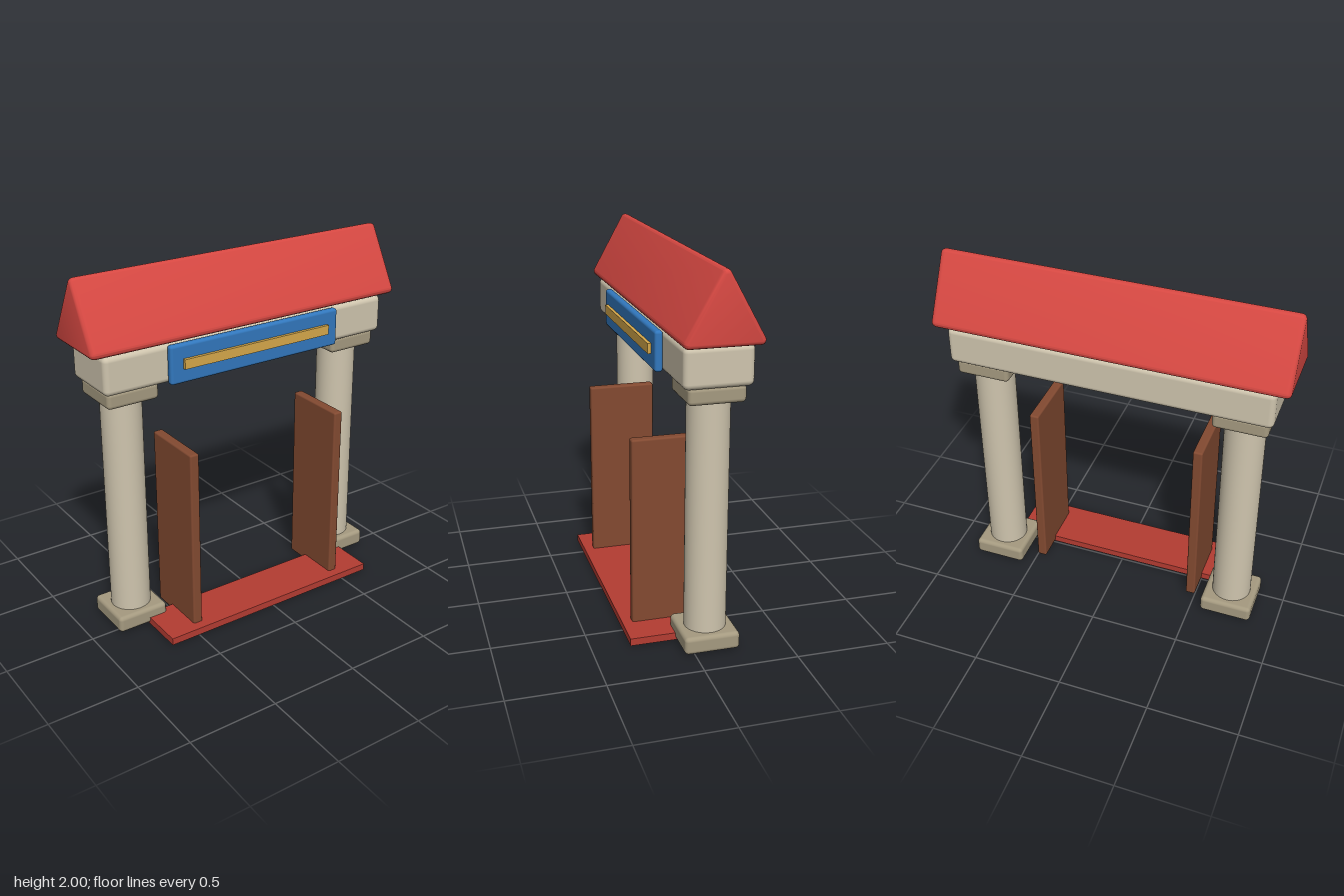
import * as THREE from 'three';
import { RoundedBoxGeometry } from 'three/addons/geometries/RoundedBoxGeometry.js';
import { toCreasedNormals } from 'three/addons/utils/BufferGeometryUtils.js';

const mat = (color) => new THREE.MeshStandardMaterial({ color });
const AXIS_Z = -0.093; // centre line of columns, beam and roof

// Box given by its min and max on each axis, with rounded edges when r > 0
function box(name, [x0, x1], [y0, y1], [z0, z1], r, material) {
  const size = [x1 - x0, y1 - y0, z1 - z0];
  const geo = r > 0 ? new RoundedBoxGeometry(...size, 3, r) : new THREE.BoxGeometry(...size);
  const mesh = new THREE.Mesh(geo, material);
  mesh.name = name;
  mesh.position.set((x0 + x1) / 2, (y0 + y1) / 2, (z0 + z1) / 2);
  return mesh;
}

// Triangular prism with softened corners, running along x
function roofGeometry() {
  const half = 0.2, bottom = 1.635, top = 2, r = 0.025, b = 0.022, halfLength = 0.953;
  const cx = half - r, low = bottom + r, high = top - r;
  const tilt = Math.atan2(cx, high - low); // angle of the slope's normal above horizontal
  const s = new THREE.Shape();
  s.absarc(cx, low, r, -Math.PI / 2, tilt, false);
  s.absarc(0, high, r, tilt, Math.PI - tilt, false);
  s.absarc(-cx, low, r, Math.PI - tilt, Math.PI * 1.5, false);
  const geo = new THREE.ExtrudeGeometry(s, {
    depth: 2 * (halfLength - 0.03), curveSegments: 8,
    bevelEnabled: true, bevelThickness: 0.03, bevelSize: b, bevelOffset: -b, bevelSegments: 4,
  });
  geo.translate(0, 0, -(halfLength - 0.03));
  geo.rotateY(Math.PI / 2);
  return toCreasedNormals(geo, 0.6);
}

export function createModel() {
  const model = new THREE.Group();
  model.name = 'gateway';
  const stone = mat(0xcfc5ae), darkStone = mat(0xa59a80), wood = mat(0x834a31);
  const red = mat(0xd64842), rugRed = mat(0xb43c32), blue = mat(0x3278be), gold = mat(0xd6a84a);

  // Columns with base and capital, and the open doors
  for (const side of [-1, 1]) {
    const label = side > 0 ? 'left' : 'right';
    const x = side * 0.707, h = 0.147;
    const xs = [x - h, x + h], zs = [AXIS_Z - h, AXIS_Z + h];
    const column = new THREE.Mesh(new THREE.CylinderGeometry(0.11, 0.11, 1.27, 40), stone);
    column.name = label + 'Column';
    column.position.set(x, 0.725, AXIS_Z);
    model.add(
      column,
      box(label + 'ColumnBase', xs, [0.005, 0.1], zs, 0.022, darkStone),
      box(label + 'ColumnCapital', xs, [1.335, 1.425], zs, 0.022, darkStone),
      box(label + 'Door', [side * 0.472 - 0.027, side * 0.472 + 0.027], [0.005, 1.065], [-0.135, 0.24], 0.01, wood),
    );
  }

  // Beam, sign board and its gold strip
  model.add(
    box('beam', [-0.88, 0.88], [1.42, 1.63], [-0.27, 0.085], 0.03, stone),
    box('signBoard', [-0.53, 0.53], [1.42, 1.63], [0.085, 0.127], 0.015, blue),
    box('signStrip', [-0.458, 0.458], [1.5, 1.553], [0.12, 0.145], 0, gold),
  );

  // Ridged roof
  const roof = new THREE.Mesh(roofGeometry(), red);
  roof.name = 'roof';
  roof.position.z = AXIS_Z - 0.002;
  model.add(roof);

  // Red floor slab in front
  model.add(box('floorSlab', [-0.67, 0.67], [0, 0.04], [0.01, 0.295], 0, rugRed));
  return model;
}
